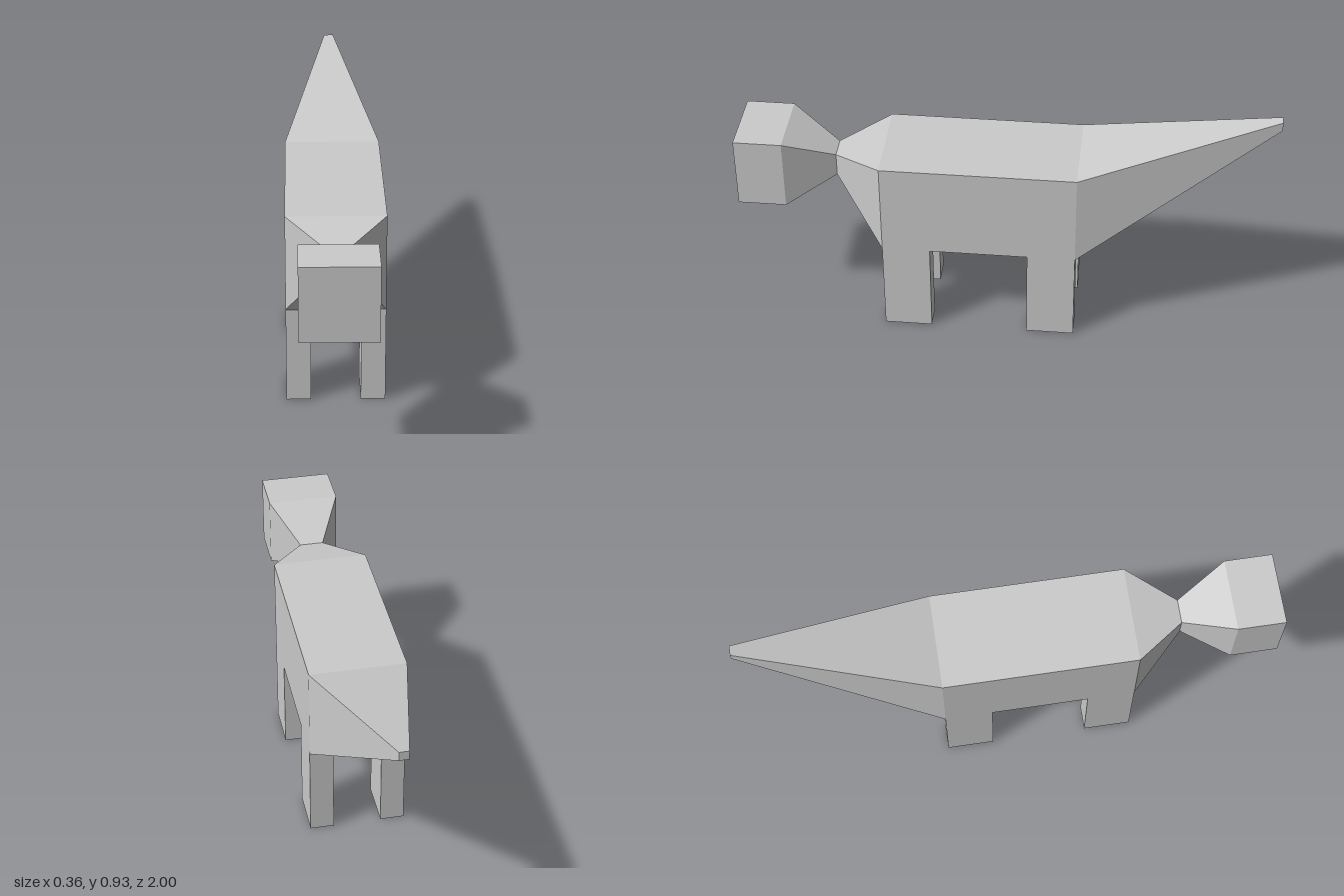
import * as THREE from 'three';

const material = new THREE.MeshStandardMaterial({ color: 0xcccccc, flatShading: true });

// Rectangular cross-sections: position along z, half width, bottom and top
const noseEnd = { z: 1, w: 0.136, bottom: 0.51, top: 0.785 };
const headBack = { z: 0.82, w: 0.136, bottom: 0.51, top: 0.785 };
const neckPinch = { z: 0.636, w: 0.045, bottom: 0.6, top: 0.69 };
const chest = { z: 0.455, w: 0.181, bottom: 0.365, top: 0.73 };
const rump = { z: -0.272, w: 0.181, bottom: 0.365, top: 0.73 };
const tailTip = { z: -1, w: 0.018, bottom: 0.893, top: 0.928 };

const corners = ({ z, w, bottom, top }) => [
  [-w, bottom, z], [w, bottom, z], [w, top, z], [-w, top, z],
];

// Skins the sections from front to back, closing only the requested ends
function loft(name, sections, { capFront = false, capBack = false } = {}) {
  const points = [];
  const quad = (a, b, c, d) => points.push(...a, ...b, ...c, ...a, ...c, ...d);
  const rings = sections.map(corners);
  for (let s = 0; s < rings.length - 1; s++) {
    const front = rings[s], back = rings[s + 1];
    for (let i = 0; i < 4; i++) {
      const j = (i + 1) % 4;
      quad(front[i], back[i], back[j], front[j]);
    }
  }
  if (capFront) quad(...rings[0]);
  if (capBack) quad(...rings[rings.length - 1].reverse());
  const geometry = new THREE.BufferGeometry();
  geometry.setAttribute('position', new THREE.Float32BufferAttribute(points, 3));
  geometry.computeVertexNormals();
  const mesh = new THREE.Mesh(geometry, material);
  mesh.name = name;
  return mesh;
}

export function createModel() {
  const model = new THREE.Group();
  model.name = 'animal';

  // Head, pinched neck, trunk and rising tail
  model.add(
    loft('head', [noseEnd, headBack], { capFront: true }),
    loft('neck', [headBack, neckPinch, chest]),
    loft('body', [chest, rump]),
    loft('tail', [rump, tailTip], { capBack: true }),
  );

  // Four legs flush with the corners of the trunk
  const legWidth = 0.09, legDepth = 0.18, legHeight = chest.bottom;
  const legGeometry = new THREE.BoxGeometry(legWidth, legHeight, legDepth);
  const rows = [['front', chest.z - legDepth / 2], ['back', rump.z + legDepth / 2]];
  for (const [row, z] of rows) {
    for (const [side, sign] of [['Left', 1], ['Right', -1]]) {
      const leg = new THREE.Mesh(legGeometry, material);
      leg.name = `${row}${side}Leg`;
      leg.position.set(sign * (chest.w - legWidth / 2), legHeight / 2, z);
      model.add(leg);
    }
  }
  return model;
}
